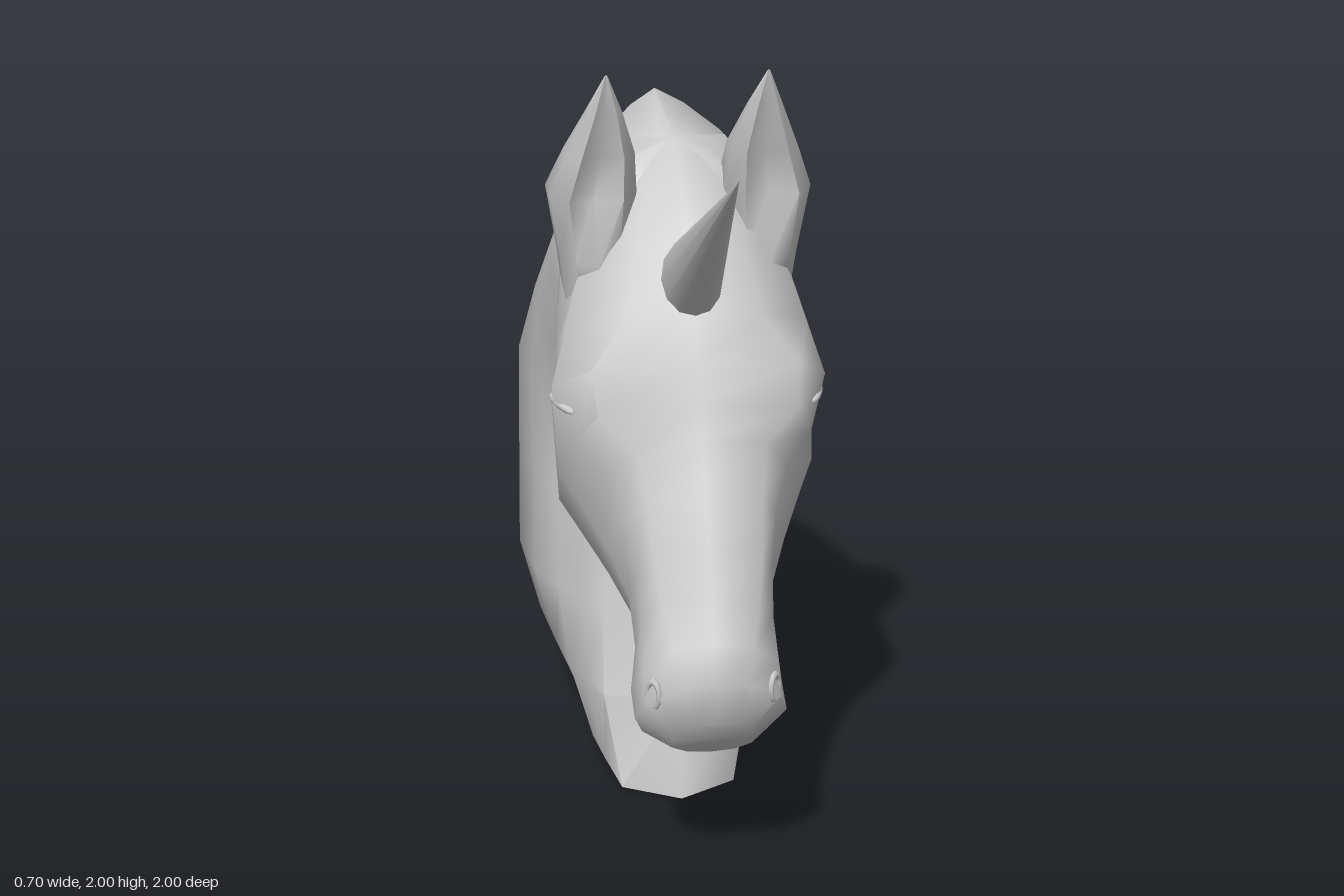
import * as THREE from 'three';
import { toCreasedNormals } from 'three/addons/utils/BufferGeometryUtils.js';

const material = new THREE.MeshStandardMaterial({ color: 0xcccccc });

function add(parent, name, geometry) {
  const mesh = new THREE.Mesh(geometry, material);
  mesh.name = name;
  parent.add(mesh);
  return mesh;
}

// Skin a list of rings (equal even point counts, counter-clockwise from above), closing both
// ends with strips that run across; buried(i, j) leaves out faces hidden inside another part
function loft(rings, crease, buried = () => false) {
  const n = rings[0].length;
  const top = (rings.length - 1) * n;
  const index = [];
  for (let i = 0; i < rings.length - 1; i++) {
    for (let j = 0; j < n; j++) {
      if (buried(i, j)) continue;
      const a = i * n + j;
      const b = i * n + ((j + 1) % n);
      index.push(a, b, b + n, a, b + n, a + n);
    }
  }
  for (let j = 0; j < n / 2; j++) {
    const a = j, b = j + 1, c = n - j - 1, d = (n - j) % n;
    if (a !== d) index.push(a, d, c, top + a, top + c, top + d);
    if (b !== c) index.push(a, c, b, top + a, top + b, top + c);
  }
  const g = new THREE.BufferGeometry().setFromPoints(rings.flat());
  g.setIndex(index);
  g.computeVertexNormals();
  return toCreasedNormals(g, crease);
}

// Mirrored ring from a front point [z, y] to a back point [z, y], with half widths at fractions ts
function section([front, back, widths], ts, bow = 0) {
  const at = (t, x) => new THREE.Vector3(
    x,
    front[1] + (back[1] - front[1]) * t + bow * Math.sin(Math.PI * t * t),
    front[0] + (back[0] - front[0]) * t
  );
  const side = ts.map((t, i) => at(t, widths[i]));
  const other = side.map((p) => new THREE.Vector3(-p.x, p.y, p.z)).reverse();
  return [at(0, 0), ...side, at(1, 0), ...other];
}

export function createModel() {
  const model = new THREE.Group();
  model.name = 'hornedHorseHead';

  // Neck and crest, from the base up to the poll
  const neckT = [0.07, 0.2, 0.29, 0.45, 0.7, 0.89];
  const neck = [
    [[0.13, 0.0], [-0.89, 0.12], [0.15, 0.18, 0.2, 0.21, 0.19, 0.08]],
    [[0.06, 0.25], [-0.81, 0.3], [0.19, 0.23, 0.26, 0.28, 0.3, 0.22]],
    [[0.0, 0.47], [-0.85, 0.47], [0.18, 0.23, 0.28, 0.33, 0.35, 0.28]],
    [[-0.06, 0.72], [-0.93, 0.74], [0.16, 0.21, 0.28, 0.32, 0.34, 0.25]],
    [[-0.12, 0.95], [-1.0, 1.01], [0.17, 0.25, 0.3, 0.32, 0.33, 0.2]],
    [[-0.1, 1.15], [-0.9, 1.21], [0.27, 0.285, 0.295, 0.31, 0.29, 0.17]],
    [[0.0, 1.32], [-0.79, 1.47], [0.27, 0.285, 0.29, 0.28, 0.23, 0.13]],
    [[0.04, 1.44], [-0.58, 1.64], [0.25, 0.27, 0.28, 0.26, 0.2, 0.13]],
    [[0.06, 1.54], [-0.37, 1.81], [0.18, 0.22, 0.24, 0.22, 0.15, 0.07]],
    [[0.1, 1.64], [0.0, 1.78], [0.06, 0.1, 0.12, 0.12, 0.08, 0.04]],
  ];
  const neckRings = neck.map((s, i) => section(s, neckT, i ? 0 : 0.09));
  add(model, 'neck', loft(neckRings, 1.0, (i, j) => i > 4 && (j === 0 || j === 13)));

  // Head, from the lips up to the poll
  const headT = [0.06, 0.25, 0.5, 0.75, 0.94];
  const head = [
    [[0.7, 0.48], [0.62, 0.37], [0.06, 0.09, 0.1, 0.1, 0.06]],
    [[0.735, 0.6], [0.51, 0.35], [0.08, 0.165, 0.19, 0.165, 0.09]],
    [[0.69, 0.69], [0.41, 0.345], [0.1, 0.17, 0.19, 0.17, 0.09]],
    [[0.64, 0.79], [0.33, 0.42], [0.12, 0.165, 0.17, 0.15, 0.09]],
    [[0.59, 0.9], [0.29, 0.55], [0.135, 0.17, 0.18, 0.16, 0.1]],
    [[0.53, 1.03], [0.2, 0.62], [0.145, 0.19, 0.225, 0.21, 0.13]],
    [[0.47, 1.14], [0.08, 0.69], [0.165, 0.23, 0.28, 0.27, 0.18]],
    [[0.44, 1.22], [-0.06, 0.72], [0.25, 0.3, 0.325, 0.31, 0.2]],
    [[0.4, 1.32], [-0.2, 0.92], [0.26, 0.345, 0.33, 0.31, 0.25]],
    [[0.355, 1.43], [-0.26, 1.1], [0.17, 0.305, 0.31, 0.29, 0.25]],
    [[0.26, 1.58], [-0.3, 1.3], [0.13, 0.25, 0.29, 0.28, 0.24]],
    [[0.13, 1.69], [-0.33, 1.5], [0.09, 0.2, 0.26, 0.25, 0.2]],
    [[0.0, 1.78], [-0.3, 1.7], [0.04, 0.09, 0.15, 0.14, 0.08]],
  ];
  const headRings = head.map((s) => section(s, headT));
  add(model, 'head', loft(headRings, 1.0, (i, j) => i > 7 && (j === 5 || j === 6)));

  // Forehead horn
  const base = new THREE.Vector3(0, 1.47, 0.245);
  const tip = new THREE.Vector3(0, 1.95, 1.0);
  const axis = tip.clone().sub(base);
  const horn = add(model, 'horn', new THREE.ConeGeometry(0.108, axis.length(), 12, 1, true));
  horn.position.copy(base).addScaledVector(axis, 0.5);
  horn.quaternion.setFromUnitVectors(new THREE.Vector3(0, 1, 0), axis.normalize());
  horn.scale.x = 0.75;

  // Ear rings: height, centre x, centre z, radius x, radius z
  const earRings = [
    [1.38, 0.21, 0.02, 0.08, 0.12],
    [1.5, 0.215, 0.03, 0.09, 0.15],
    [1.67, 0.22, 0.05, 0.115, 0.155],
    [1.78, 0.205, 0.1, 0.09, 0.11],
    [1.9, 0.2, 0.17, 0.045, 0.055],
    [2.0, 0.2, 0.22, 0.003, 0.003],
  ];
  for (const s of [1, -1]) {
    const label = s > 0 ? 'left' : 'right';

    // Ear with a hollow down its front
    const rings = earRings.map(([y, cx, cz, rx, rz], i) =>
      Array.from({ length: 10 }, (_, j) => {
        const a = (j / 10) * Math.PI * 2;
        const hollow = j === 0 && i > 1 ? 0.5 : 1;
        return new THREE.Vector3(s * cx + rx * Math.sin(a), y, cz + rz * Math.cos(a) * hollow);
      })
    );
    add(model, label + 'Ear', loft(rings, 1.3));

    // Narrow eye under a thin lid
    const eye = new THREE.Group();
    eye.name = label + 'Eye';
    eye.position.set(s * 0.313, 1.15, 0.25);
    eye.rotation.y = -s * 0.25;
    model.add(eye);
    add(eye, 'eyeball', new THREE.SphereGeometry(0.05, 12, 8)).scale.set(0.3, 0.4, 1.2);
    const lid = add(eye, 'upperLid', new THREE.SphereGeometry(0.05, 12, 8));
    lid.position.set(s * 0.008, 0.024, 0);
    lid.scale.set(0.35, 0.25, 1.6);

    // Nostril rim
    const nostril = add(model, label + 'Nostril', new THREE.TorusGeometry(0.025, 0.008, 6, 12));
    nostril.position.set(s * 0.15, 0.56, 0.672);
    nostril.rotation.y = s * 0.9;
    nostril.scale.set(0.8, 1.3, 1);
  }

  return model;
}
